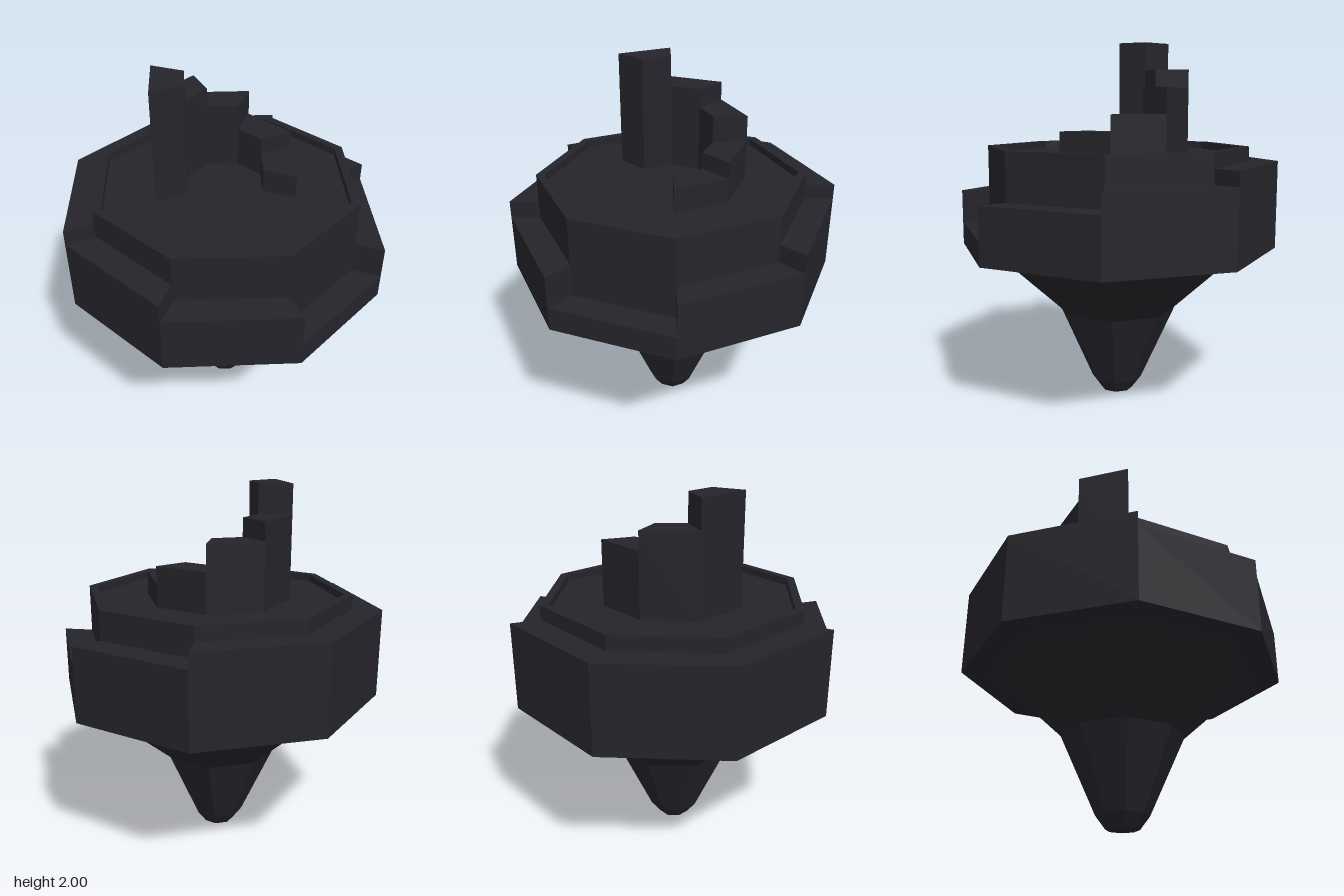
import * as THREE from 'three';

const TURN = THREE.MathUtils.degToRad(7.1); // twist of the octagon about y
const SIDES = 8;

export function createModel() {
  const group = new THREE.Group();
  const material = new THREE.MeshStandardMaterial({ color: 0x25242b, flatShading: true });

  const add = (name, geometry) => {
    const mesh = new THREE.Mesh(geometry, material);
    mesh.name = name;
    group.add(mesh);
  };

  // eight-sided solid of revolution from a profile of [radius, y], bottom to top
  const octagonal = (profile) => new THREE.LatheGeometry(
    profile.map(([r, y]) => new THREE.Vector2(r, y)), SIDES, Math.PI / 2 - TURN);

  // upright block filling one eighth of an octagonal ring
  const sector = (k, inner, outer, bottom, top) => {
    const corner = (r, i) => {
      const a = TURN + i * Math.PI / 4;
      return new THREE.Vector2(r * Math.cos(a), -r * Math.sin(a));
    };
    const shape = new THREE.Shape([
      corner(inner, k), corner(outer, k), corner(outer, k + 1), corner(inner, k + 1)]);
    const geometry = new THREE.ExtrudeGeometry(shape, { depth: top - bottom, bevelEnabled: false });
    return geometry.rotateX(-Math.PI / 2).translate(0, bottom, 0);
  };

  // tapering underside with a blunt tip
  add('taperedBase', octagonal([[0, 0], [0.09, 0], [0.143, 0.07], [0.335, 0.495], [0.737, 0.85]]));

  // central body with a rim and a sunken floor
  add('body', octagonal([[0.737, 0.85], [0.737, 1.42], [0.69, 1.42], [0.69, 1.38], [0, 1.38]]));

  // stepped collar, lowest at the front and rising towards the back
  [1.16, 0.98, 1.16, 1.26, 1.34, 1.34, 1.34, 1.26].forEach((top, k) => {
    // the back right block matches its neighbours on the far side
    const height = k === 6 ? 1.34 : top;
    add(`collarBlock${k + 1}`, sector(k, 0.737, 0.897, 0.85, height));
  });

  // spiral of towers climbing around the floor
  [[4, 2.0], [5, 1.84], [6, 1.74], [7, 1.6], [0, 1.51]].forEach(([k, top], i) => {
    add(`tower${i + 1}`, sector(k, 0.215, 0.397, 1.38, top));
  });

  return group;
}
